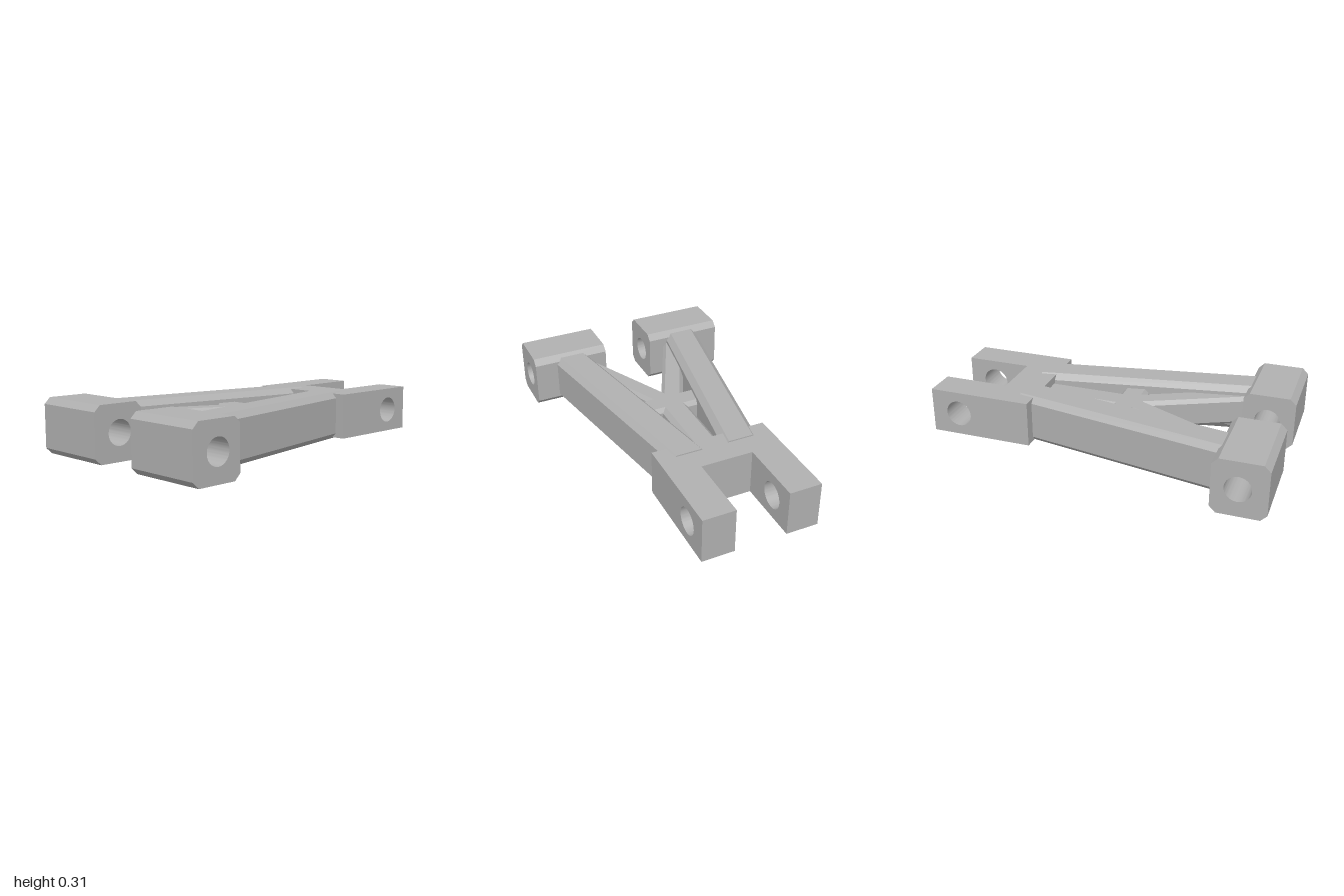
import * as THREE from 'three';
import { toCreasedNormals } from 'three/addons/utils/BufferGeometryUtils.js';

const metal = new THREE.MeshStandardMaterial({ color: 0xb0b0b0 });
metal.name = 'plain grey';

// Rectangle with bevelled corners, optionally bored through
function bevelled(u0, u1, v0, v1, c, hole) {
  const shape = new THREE.Shape([
    [u0 + c, v0], [u1 - c, v0], [u1, v0 + c], [u1, v1 - c],
    [u1 - c, v1], [u0 + c, v1], [u0, v1 - c], [u0, v0 + c],
  ].map(([u, v]) => new THREE.Vector2(u, v)));
  if (hole) shape.holes.push(new THREE.Path().absarc(hole[0], hole[1], hole[2], 0, Math.PI * 2, true));
  return shape;
}

function extrude(shape, depth) {
  return new THREE.ExtrudeGeometry(shape, { depth, bevelEnabled: false, curveSegments: 32 });
}

export function createModel() {
  const group = new THREE.Group();
  const add = (name, geometry) => {
    const mesh = new THREE.Mesh(toCreasedNormals(geometry, 0.4), metal);
    mesh.name = name;
    group.add(mesh);
  };

  // Block with a profile in x and y, running from z0 to z1
  const crosswise = (name, shape, z0, z1) => add(name, extrude(shape, z1 - z0).translate(0, 0, z0));

  // Bar along x, sheared in z so that both ends stay square to x
  const lengthwise = (name, x0, z0, x1, z1, width, y0, y1, c) => {
    const g = extrude(bevelled(-width / 2, width / 2, y0, y1, c), x1 - x0);
    g.rotateY(Math.PI / 2).translate(x0, 0, 0);
    const p = g.attributes.position;
    for (let i = 0; i < p.count; i++) {
      const t = (p.getX(i) - x0) / (x1 - x0);
      p.setZ(i, p.getZ(i) + z0 + (z1 - z0) * t);
    }
    g.computeVertexNormals();
    add(name, g);
  };

  // Bored pivot blocks at the wide end
  const pivot = bevelled(-1, -0.705, 0.004, 0.315, 0.034, [-0.845, 0.16, 0.071]);
  crosswise('leftPivotBlock', pivot, 0.155, 0.607);
  crosswise('rightPivotBlock', pivot, -0.61, -0.145);

  // Fork: two bored tines and the bridge between them
  const tine = new THREE.Shape([[0.405, 0.03], [0.998, 0.03], [0.998, 0.29], [0.405, 0.29]]
    .map(([x, y]) => new THREE.Vector2(x, y)));
  tine.holes.push(new THREE.Path().absarc(0.835, 0.16, 0.075, 0, Math.PI * 2, true));
  crosswise('leftTine', tine, 0.145, 0.328);
  crosswise('rightTine', tine, -0.333, -0.15);
  add('forkBridge', new THREE.BoxGeometry(0.215, 0.26, 0.295).translate(0.5125, 0.16, -0.0025));

  // Main beams and the lower bracing between them
  for (const [side, s] of [['left', 1], ['right', -1]]) {
    lengthwise(side + 'Beam', -0.722, s * 0.37, 0.492, s * 0.152, 0.208, 0.022, 0.297, 0.033);
    lengthwise(side + 'DiagonalBrace', -0.72, s * 0.315, -0.065, s * 0.005, 0.14, 0.075, 0.245, 0.022);
  }
  lengthwise('centreBrace', -0.08, 0, 0.42, 0, 0.16, 0.075, 0.245, 0.025);
  crosswise('crossBrace', bevelled(-0.148, 0, 0.075, 0.245, 0.023), -0.2, 0.2);

  return group;
}
